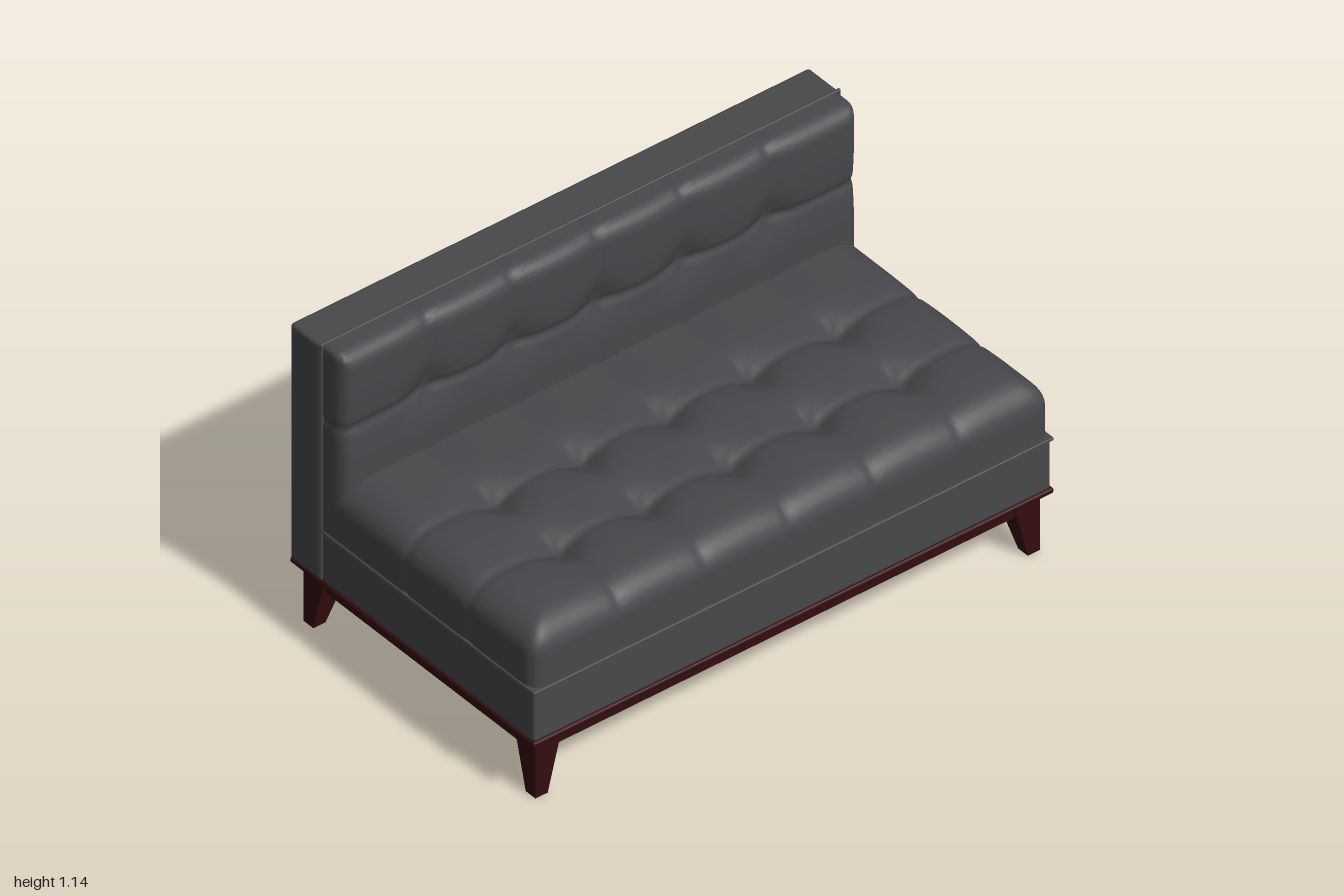
import * as THREE from 'three';
import { mergeVertices, toCreasedNormals } from 'three/addons/utils/BufferGeometryUtils.js';
import { RoundedBoxGeometry } from 'three/addons/geometries/RoundedBoxGeometry.js';

const SEAMS_X = [-0.655, -0.327, 0, 0.327, 0.655];

// Tufted cushion with its puffed face up: rounded rim, stitched grooves, dimples where seams cross.
// x is centred, y runs from 0 to height, z from z0 to z1; r holds the rim radii.
function cushion({ width, height, z0, z1, r, seamsZ, dimple, warp }) {
  const w = width / 2;
  let geo = new THREE.BoxGeometry(width, height, z1 - z0, 132, 16, 76);
  geo.translate(0, height / 2, (z0 + z1) / 2);
  const pos = geo.attributes.position;
  const nearest = (v, list) => Math.min(...list.map(s => Math.abs(v - s)));
  const bell = (d, s) => Math.exp(-((d / s) ** 2));
  const p = new THREE.Vector3(), c = new THREE.Vector3();
  for (let i = 0; i < pos.count; i++) {
    p.fromBufferAttribute(pos, i);
    const rz = p.z > (z0 + z1) / 2 ? r.z1 : r.z0;
    c.set(
      THREE.MathUtils.clamp(p.x, -w + r.x, w - r.x),
      Math.min(p.y, height - r.y),
      THREE.MathUtils.clamp(p.z, z0 + r.z0, z1 - r.z1));
    let dx = (p.x - c.x) / r.x, dy = (p.y - c.y) / r.y, dz = rz ? (p.z - c.z) / rz : 0;
    const flat = (Math.abs(dx) ** 5 + Math.abs(dz) ** 5) ** 0.2;
    const len = Math.hypot(flat, dy);
    if (len > 0) {
      dx /= len; dy /= len; dz /= len;
      p.set(c.x + dx * r.x, c.y + dy * r.y, c.z + dz * rz);
      // press the seams in along the surface direction
      const sx = nearest(p.x, SEAMS_X), sz = nearest(p.z, seamsZ);
      const drop = dimple * bell(Math.hypot(sx, sz), 0.075)
        + 0.008 * Math.max(bell(sx, 0.016) * (1 - Math.abs(dx)), bell(sz, 0.016))
        + 0.008 * Math.max(bell(sx, 0.07), bell(sz, 0.07)) * Math.max(dy, 0);
      p.x -= dx * drop * 0.5;
      p.y -= dy * drop;
      p.z -= dz * drop;
    }
    if (warp) warp(p);
    pos.setXYZ(i, p.x, p.y, p.z);
  }
  geo.deleteAttribute('normal');
  geo.deleteAttribute('uv');
  geo = mergeVertices(geo, 1e-5);
  return toCreasedNormals(geo, 0.9);
}

export function createModel() {
  const group = new THREE.Group();
  const fabric = new THREE.MeshStandardMaterial({ name: 'charcoal fabric', color: 0x48484c });
  const wood = new THREE.MeshStandardMaterial({ name: 'dark red wood', color: 0x330d10 });

  const add = (name, geo, mat) => {
    const mesh = new THREE.Mesh(geo, mat);
    mesh.name = name;
    group.add(mesh);
    return mesh;
  };
  // Box given by its limits on each axis, optionally with rounded edges
  const block = (name, mat, [x0, x1], [y0, y1], [z0, z1], radius = 0) => {
    const size = [x1 - x0, y1 - y0, z1 - z0];
    const geo = radius ? new RoundedBoxGeometry(...size, 3, radius) : new THREE.BoxGeometry(...size);
    geo.translate((x0 + x1) / 2, (y0 + y1) / 2, (z0 + z1) / 2);
    return add(name, geo, mat);
  };

  // Upholstered body
  block('seatBase', fabric, [-0.994, 0.994], [0.235, 0.424], [-0.44, 0.58], 0.012);
  block('backPanel', fabric, [-0.998, 0.998], [0.235, 1.128], [-0.587, -0.442], 0.012);

  // Piping cords, showing as a thin rim around each cushion
  block('seatPiping', fabric, [-1, 1], [0.42, 0.432], [-0.435, 0.587], 0.0055);
  block('backPiping', fabric, [-1, 1], [0.24, 1.136], [-0.446, -0.434], 0.0055);

  // Seat cushion, its rear cut on a slant where the back cushion sits
  const seat = add('seatCushion', cushion({
    width: 1.99, height: 0.222, z0: -0.435, z1: 0.581,
    r: { x: 0.12, y: 0.1, z0: 0, z1: 0.11 },
    seamsZ: [-0.035, 0.265], dimple: 0.04,
    warp: p => { p.z = Math.max(p.z, -0.345 - (0.2 - p.y) * 0.45); },
  }), fabric);
  seat.position.y = 0.428;

  // Back cushion, built lying down and stood upright
  const backGeo = cushion({
    width: 1.985, height: 0.107, z0: -1.132, z1: -0.425,
    r: { x: 0.04, y: 0.055, z0: 0.055, z1: 0 },
    seamsZ: [-0.85], dimple: 0.028,
  });
  backGeo.rotateX(Math.PI / 2);
  add('backCushion', backGeo, fabric).position.z = -0.441;

  // Wooden plinth and apron frame
  block('plinth', wood, [-1, 1], [0.22, 0.24], [-0.587, 0.587], 0.008);
  for (const s of [-1, 1]) {
    const span = (a, b) => [Math.min(a * s, b * s), Math.max(a * s, b * s)];
    block(s > 0 ? 'frontApron' : 'backApron', wood, [-0.965, 0.965], [0.165, 0.225], span(0.515, 0.55));
    block(s > 0 ? 'leftApron' : 'rightApron', wood, span(0.93, 0.965), [0.165, 0.225], [-0.55, 0.55]);
  }

  // Tapered legs: outer faces upright, inner faces sloping
  for (const sx of [-1, 1]) for (const sz of [-1, 1]) {
    const geo = new THREE.BoxGeometry(1, 0.222, 1).translate(0, 0.111, 0);
    const pos = geo.attributes.position;
    for (let i = 0; i < pos.count; i++) {
      const w = pos.getY(i) > 0.1 ? 0.103 : 0.047;
      const outX = pos.getX(i) * sx > 0, outZ = pos.getZ(i) * sz > 0;
      pos.setX(i, sx * (outX ? 0.97 : 0.97 - w));
      pos.setZ(i, sz * (outZ ? 0.556 : 0.556 - w));
    }
    geo.computeVertexNormals();
    add(`${sz > 0 ? 'front' : 'back'}${sx > 0 ? 'Left' : 'Right'}Leg`, geo, wood);
  }

  return group;
}
